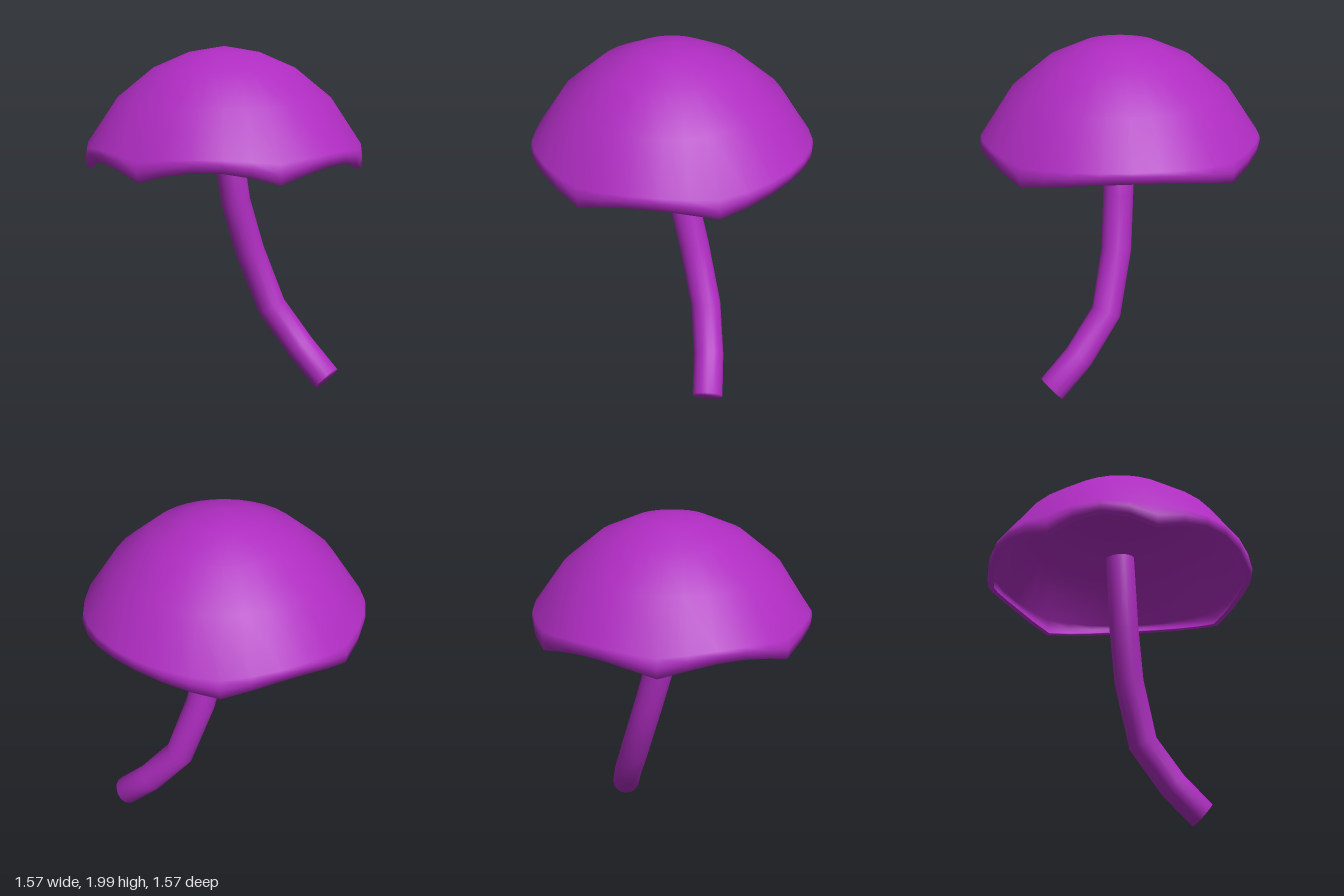
import * as THREE from 'three';
import { mergeVertices } from 'three/addons/utils/BufferGeometryUtils.js';

const SIDES = 32;
// Steps around the cap where the rim dips to its lowest
const DIPS = [0, 5, 10, 18, 23, 28, 32];

// Height of the scalloped rim above its dips, at a step around the cap
function scallop(step) {
  for (let i = 0; i < DIPS.length - 1; i++) {
    const a = DIPS[i], b = DIPS[i + 1];
    if (step <= b) {
      const height = b - a > 5 ? 0.085 : 0.073;
      return height * Math.sin(Math.PI * (step - a) / (b - a));
    }
  }
  return 0;
}

// Weld the seams and shade smoothly all over
function smooth(geo) {
  geo.deleteAttribute('uv');
  geo.deleteAttribute('normal');
  const welded = mergeVertices(geo, 1e-4);
  welded.computeVertexNormals();
  return welded;
}

// Thin domed shell whose wavy edge curls inward
function capGeometry() {
  // radius, height, share of the scallop: inside top, round the edge, outside top
  const profile = [
    [0, 1.988, 0], [0.196, 1.955, 0], [0.394, 1.869, 0], [0.596, 1.704, 0],
    [0.767, 1.437, 0.4], [0.773, 1.385, 0.85], [0.768, 1.346, 1], [0.746, 1.33, 1],
    [0.78, 1.332, 1], [0.786, 1.385, 0.85], [0.779, 1.44, 0.4],
    [0.605, 1.713, 0], [0.4, 1.88, 0], [0.2, 1.966, 0], [0, 2, 0],
  ];
  const geo = new THREE.LatheGeometry(profile.map(([r, y]) => new THREE.Vector2(r, y)), SIDES);
  const pos = geo.attributes.position;
  for (let i = 0; i < pos.count; i++) {
    const step = Math.floor(i / profile.length);
    const share = profile[i % profile.length][2];
    pos.setY(i, pos.getY(i) + share * scallop(step));
  }
  return smooth(geo);
}

// Closed cylinder bent along a path, one ring at each path point
function stemGeometry() {
  const points = [
    [0, 1.55, -0.005], [0.04, 1.11, -0.06], [0.09, 0.81, -0.135],
    [0.195, 0.465, -0.215], [0.385, 0.235, -0.245], [0.559, 0.073, -0.25],
  ].map((p) => new THREE.Vector3(...p));
  const path = new THREE.CatmullRomCurve3(points);
  const footDirection = new THREE.Vector3(0.77, -0.635, 0).normalize();
  const down = new THREE.Vector3(0, -1, 0);
  const turn = new THREE.Quaternion();
  const v = new THREE.Vector3();

  const geo = new THREE.CylinderGeometry(0.086, 0.086, 1, 16, points.length - 1);
  const pos = geo.attributes.position;
  for (let i = 0; i < pos.count; i++) {
    const t = THREE.MathUtils.clamp(0.5 - pos.getY(i), 0, 1);
    turn.setFromUnitVectors(down, t > 0.99 ? footDirection : path.getTangent(t));
    v.set(pos.getX(i), 0, pos.getZ(i)).applyQuaternion(turn).add(path.getPoint(t));
    pos.setXYZ(i, v.x, v.y, v.z);
  }
  return smooth(geo);
}

export function createModel() {
  const group = new THREE.Group();
  const material = new THREE.MeshStandardMaterial({ color: 0xae2cc0 });
  for (const [name, geo] of [['cap', capGeometry()], ['stem', stemGeometry()]]) {
    const mesh = new THREE.Mesh(geo, material);
    mesh.name = name;
    group.add(mesh);
  }
  return group;
}
